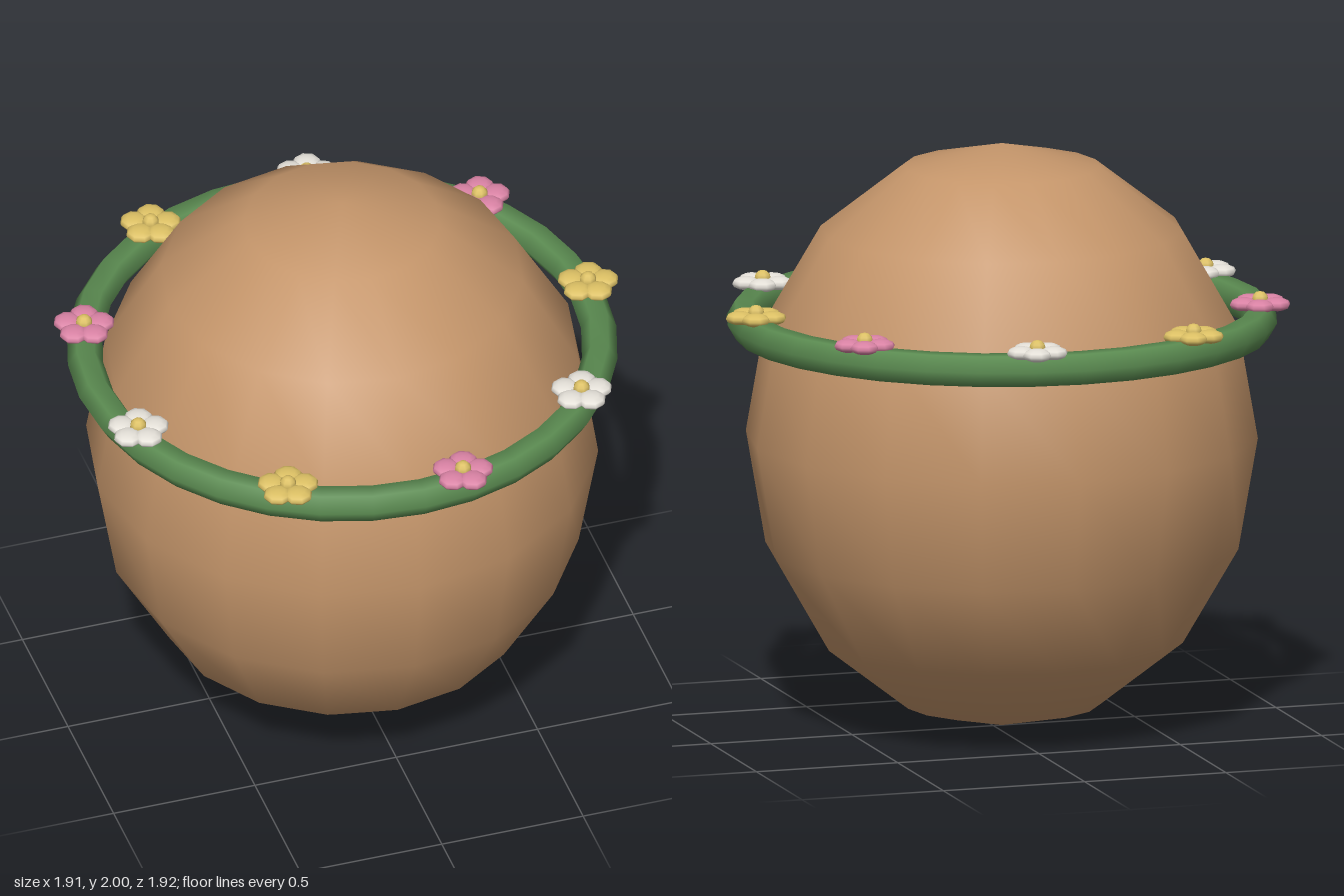
import * as THREE from 'three';

const material = (name, color) => {
  const m = new THREE.MeshStandardMaterial({ color });
  m.name = name;
  return m;
};

const add = (parent, name, geometry, mat, x = 0, y = 0, z = 0) => {
  const mesh = new THREE.Mesh(geometry, mat);
  mesh.name = name;
  mesh.position.set(x, y, z);
  parent.add(mesh);
  return mesh;
};

export function createModel() {
  const model = new THREE.Group();
  model.name = 'flowerCrownHead';

  const skin = material('skin tan', 0xc4956a);
  const green = material('vine green', 0x5a8a50);
  const yellow = material('yellow', 0xdcc064);
  const white = material('white', 0xe4e0d8);
  const pink = material('pink', 0xd982a4);

  const CENTER_X = -0.03;
  const RING_RADIUS = 0.87;

  // Head: a coarse egg, smooth shaded
  const headGeometry = new THREE.SphereGeometry(1, 16, 8).scale(0.865, 1, 0.865);
  add(model, 'head', headGeometry, skin, CENTER_X, 1, 0);

  // Crown: six-sided vine ring
  const crown = new THREE.Group();
  crown.name = 'crown';
  crown.position.set(CENTER_X, 1.395, 0);
  model.add(crown);
  const vineGeometry = new THREE.TorusGeometry(RING_RADIUS, 0.06, 6, 32).rotateX(-Math.PI / 2);
  add(crown, 'vine', vineGeometry, green);

  // Flowers: five flat petals round a yellow centre
  const petalGeometry = new THREE.SphereGeometry(0.05, 8, 6).scale(1, 0.45, 1);
  const centerGeometry = new THREE.SphereGeometry(0.029, 8, 6);
  const petalColors = [yellow, white, pink];
  for (let i = 0; i < 9; i++) {
    const angle = (i / 9) * Math.PI * 2;
    const flower = new THREE.Group();
    flower.name = `flower${i + 1}`;
    flower.position.set(Math.cos(angle) * RING_RADIUS, 0.061, Math.sin(angle) * RING_RADIUS);
    crown.add(flower);
    for (let p = 0; p < 5; p++) {
      const a = (p / 5) * Math.PI * 2;
      add(flower, 'petal', petalGeometry, petalColors[i % 3], Math.cos(a) * 0.057, 0, Math.sin(a) * 0.057);
    }
    add(flower, 'flowerCenter', centerGeometry, yellow, 0, 0.013, 0);
  }

  return model;
}
